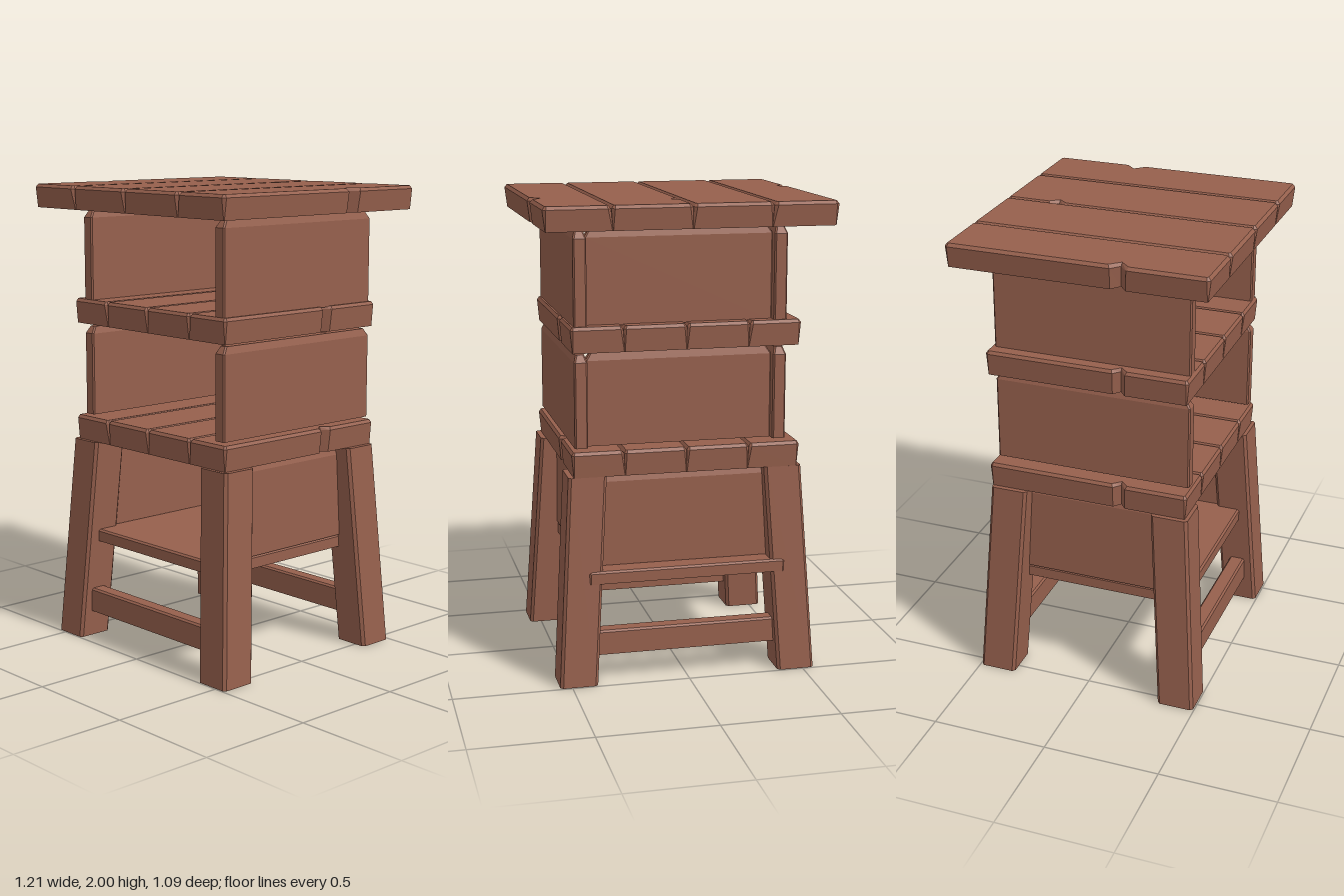
import * as THREE from 'three';

const wood = new THREE.MeshStandardMaterial({ color: 0x96604d, flatShading: true });
wood.name = 'brown wood';

// Rectangle in plan with cut corners, an inset and an optional V notch in one long edge
function outline([x0, x1, z0, z1], inset, cut, notch) {
  const a = x0 + inset, b = x1 - inset, c = z0 + inset, d = z1 - inset;
  const right = [], left = [];
  if (notch) {
    const { side, z, half, depth } = notch;
    const h = half + inset * 0.7;
    if (side > 0) right.push([b, z - h], [b - depth, z], [b, z + h]);
    else left.push([a, z + h], [a + depth, z], [a, z - h]);
  }
  return [
    [a + cut, c], [b - cut, c], [b, c + cut], ...right, [b, d - cut],
    [b - cut, d], [a + cut, d], [a, d - cut], ...left, [a, c + cut],
  ];
}

// Solid through a stack of plan outlines: each ring is { y, pts }
function loft(rings) {
  const n = rings[0].pts.length, pos = [], idx = [];
  for (const { y, pts } of rings) for (const [x, z] of pts) pos.push(x, y, z);
  for (let r = 0; r < rings.length - 1; r++) {
    for (let i = 0; i < n; i++) {
      const j = (i + 1) % n, a = r * n + i, b = r * n + j;
      idx.push(a, b + n, b, a, a + n, b + n);
    }
  }
  const cap = (r, flip) => {
    const contour = rings[r].pts.map(([x, z]) => new THREE.Vector2(x, z));
    for (const [a, b, c] of THREE.ShapeUtils.triangulateShape(contour, [])) {
      const o = r * n;
      if (flip) idx.push(o + c, o + b, o + a);
      else idx.push(o + a, o + b, o + c);
    }
  };
  cap(0, false);
  cap(rings.length - 1, true);
  const indexed = new THREE.BufferGeometry();
  indexed.setAttribute('position', new THREE.Float32BufferAttribute(pos, 3));
  indexed.setIndex(idx);
  const g = indexed.toNonIndexed();
  g.computeVertexNormals();
  return g;
}

function add(parent, name, geometry) {
  const mesh = new THREE.Mesh(geometry, wood);
  mesh.name = name;
  parent.add(mesh);
  return mesh;
}

// Board with softly cut edges
function board(parent, name, rect, y0, y1, bevel = 0.008) {
  return add(parent, name, loft([
    { y: y0, pts: outline(rect, 0, bevel) },
    { y: y1 - bevel, pts: outline(rect, 0, bevel) },
    { y: y1, pts: outline(rect, bevel, bevel) },
  ]));
}

// Upright panel whose top edge slopes in
function panel(parent, name, [x0, x1, z0, z1], y0, y1) {
  const thinX = x1 - x0 < z1 - z0;
  const ix = thinX ? 0.01 : 0.02, iz = thinX ? 0.02 : 0.01;
  const rect = [x0, x1, z0, z1];
  return add(parent, name, loft([
    { y: y0, pts: outline(rect, 0, 0.006) },
    { y: y1 - 0.03, pts: outline(rect, 0, 0.006) },
    { y: y1, pts: outline([x0 + ix, x1 - ix, z0 + iz, z1 - iz], 0, 0.006) },
  ]));
}

// Four planks side by side, tapering slightly downward
function plankSlab(name, scale, y0, height, zShift) {
  const slab = new THREE.Group();
  slab.name = name;
  const seams = [-0.605, -0.332, 0, 0.33, 0.603];
  const notches = [
    { side: -1, z: 0.18, half: 0.033, depth: 0.04 },
    null,
    { side: -1, z: -0.32, half: 0.03, depth: 0.03 },
    { side: 1, z: -0.18, half: 0.033, depth: 0.04 },
  ];
  for (let i = 0; i < 4; i++) {
    const rect = [seams[i], seams[i + 1], -0.547, 0.547];
    const ring = (y, inset, cut, k) => ({
      y, pts: outline(rect, inset, cut, notches[i]).map(([x, z]) => [x * k * scale, z * k * scale]),
    });
    add(slab, 'plank', loft([
      ring(y0, 0, 0.002, 0.98),
      ring(y0 + height - 0.013, 0.001, 0.013, 1),
      ring(y0 + height, 0.012, 0.006, 1),
    ]));
  }
  slab.position.z = zShift;
  return slab;
}

export function createModel() {
  const model = new THREE.Group();
  model.name = 'plankCabinet';

  // Roof and the two shelves
  model.add(plankSlab('roof', 1, 1.9, 0.1, 0));
  model.add(plankSlab('upperShelf', 0.8, 1.4, 0.107, -0.008));
  model.add(plankSlab('lowerShelf', 0.8, 0.885, 0.107, -0.008));

  // Two open-fronted compartments
  for (const [name, y0, y1] of [['upperBox', 1.503, 1.89], ['lowerBox', 1.005, 1.39]]) {
    const box = new THREE.Group();
    box.name = name;
    panel(box, 'rightPanel', [-0.425, -0.37, -0.427, 0.42], y0, y1);
    panel(box, 'leftPanel', [0.41, 0.465, -0.427, 0.42], y0, y1);
    panel(box, 'backPanel', [-0.372, 0.412, -0.39, -0.34], y0, y1);
    model.add(box);
  }

  // Base compartment between the legs
  const base = new THREE.Group();
  base.name = 'baseBox';
  board(base, 'baseShelf', [-0.42, 0.42, -0.47, 0.41], 0.435, 0.488);
  for (const s of [-1, 1]) {
    const x = s * 0.4;
    panel(base, 'sidePanel', [x - 0.025, x + 0.025, -0.4, 0.4], 0.49, 0.88);
  }
  panel(base, 'backPanel', [-0.377, 0.377, -0.39, -0.34], 0.49, 0.88);
  model.add(base);

  // Splayed legs
  for (const sx of [-1, 1]) {
    for (const sz of [-1, 1]) {
      const rect = (x, z) => [sx * x - 0.08, sx * x + 0.08, sz * z - 0.08, sz * z + 0.08];
      add(model, 'leg', loft([
        { y: 0, pts: outline(rect(0.47, 0.415), 0, 0.012) },
        { y: 0.885, pts: outline(rect(0.415, 0.357), 0, 0.012) },
      ]));
    }
  }

  // Low stretchers at front and back
  for (const z of [-0.405, 0.405]) {
    board(model, 'stretcher', [-0.42, 0.42, z - 0.035, z + 0.035], 0.115, 0.22);
  }
  return model;
}
